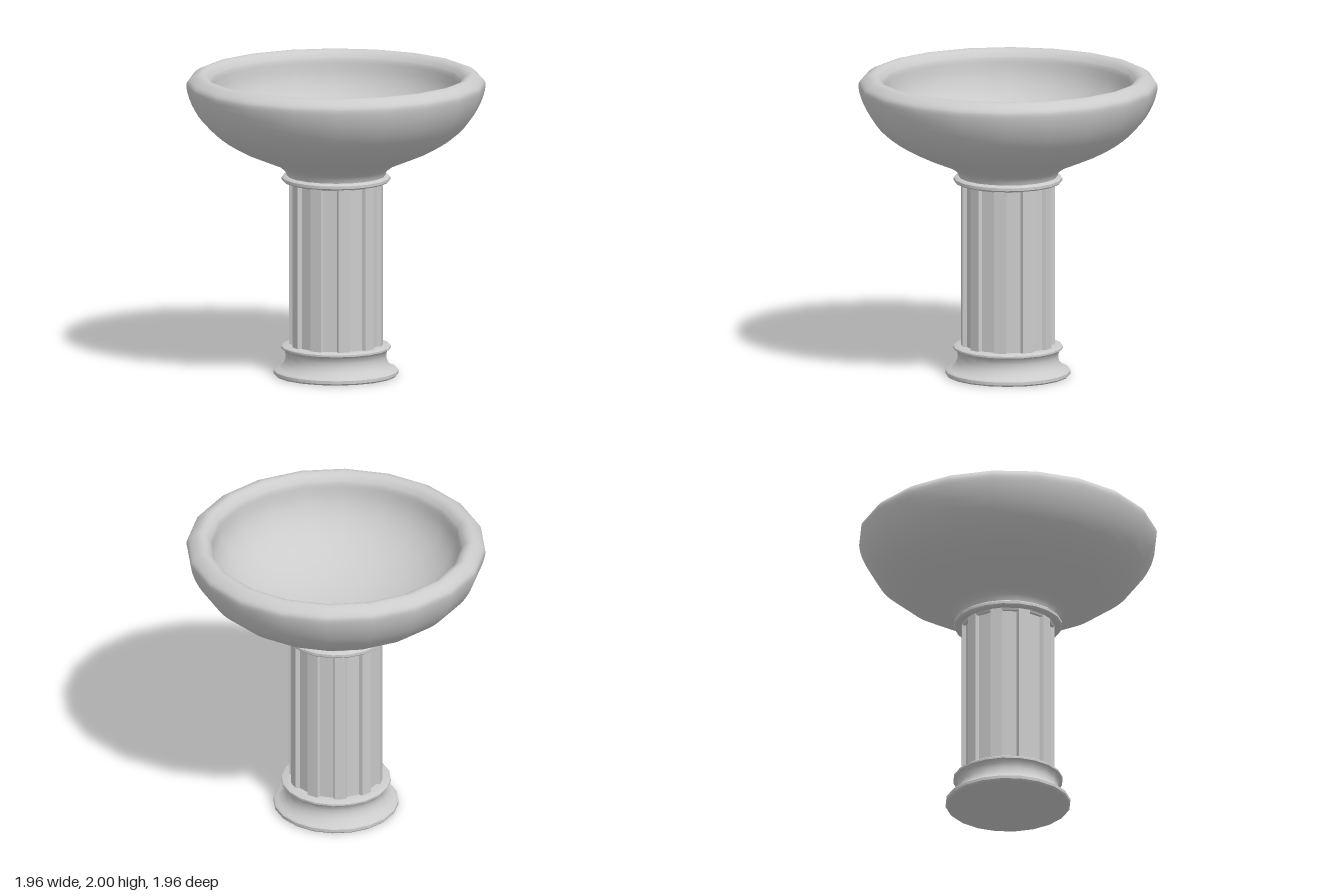
import * as THREE from 'three';
import { toCreasedNormals } from 'three/addons/utils/BufferGeometryUtils.js';

const SIDES = 20;
const material = new THREE.MeshStandardMaterial({ color: 0xcccccc });
const vectors = (points) => points.map(([r, y]) => new THREE.Vector2(r, y));

// Turned part: the profile runs up the outside
function turned(name, points) {
  const geometry = new THREE.LatheGeometry(vectors(points), SIDES);
  const mesh = new THREE.Mesh(toCreasedNormals(geometry, 0.7), material);
  mesh.name = name;
  return mesh;
}

// Bowl: neck, flaring outside, rounded rim and an evenly curved hollow
function createBowl() {
  const neck = vectors([[0.322, 1.32], [0.328, 1.345], [0.345, 1.37], [0.385, 1.4]]);
  const outside = new THREE.SplineCurve(vectors([
    [0.59, 1.485], [0.74, 1.57], [0.87, 1.68], [0.945, 1.8], [0.978, 1.91],
    [0.965, 1.96], [0.9, 2], [0.85, 1.985], [0.82, 1.945],
  ])).getPoints(24);
  const inside = [];
  for (let i = 0; i <= 16; i++) {
    const a = (i / 16) * Math.PI / 2;
    inside.push(new THREE.Vector2(i < 16 ? 0.815 * Math.cos(a) : 0, 1.92 - 0.49 * Math.sin(a)));
  }
  const geometry = new THREE.LatheGeometry([...neck, ...outside, ...inside], SIDES);
  const mesh = new THREE.Mesh(geometry, material);
  mesh.name = 'bowl';
  return mesh;
}

// Fluted shaft: ten raised lands with sloping groove walls between them
function createShaft() {
  const points = [];
  for (let i = 0; i < 10; i++) {
    for (const [offset, r] of [[-9, 0.28], [-7, 0.306], [7, 0.306], [9, 0.28]]) {
      const a = THREE.MathUtils.degToRad(9 + i * 36 + offset);
      points.push(new THREE.Vector2(r * Math.sin(a), -r * Math.cos(a)));
    }
  }
  const geometry = new THREE.ExtrudeGeometry(new THREE.Shape(points), { depth: 1.1, bevelEnabled: false });
  geometry.rotateX(-Math.PI / 2).translate(0, 0.19, 0);
  const mesh = new THREE.Mesh(geometry, material);
  mesh.name = 'flutedShaft';
  return mesh;
}

export function createModel() {
  const group = new THREE.Group();
  group.name = 'pedestalBasin';

  // Base: rounded foot, concave waist and a thin top ring
  group.add(turned('base', [
    [0, 0], [0.4, 0], [0.41, 0.01], [0.41, 0.03], [0.4, 0.04], [0.38, 0.045],
    [0.35, 0.07], [0.333, 0.1], [0.329, 0.13], [0.335, 0.16], [0.35, 0.175],
    [0.36, 0.18], [0.36, 0.192], [0.35, 0.2], [0.27, 0.2],
  ]));

  group.add(createShaft());

  // Collar between shaft and bowl
  group.add(turned('collar', [
    [0.27, 1.275], [0.3, 1.275], [0.306, 1.288], [0.345, 1.288], [0.355, 1.297],
    [0.355, 1.315], [0.345, 1.324], [0.315, 1.33],
  ]));

  group.add(createBowl());
  return group;
}
